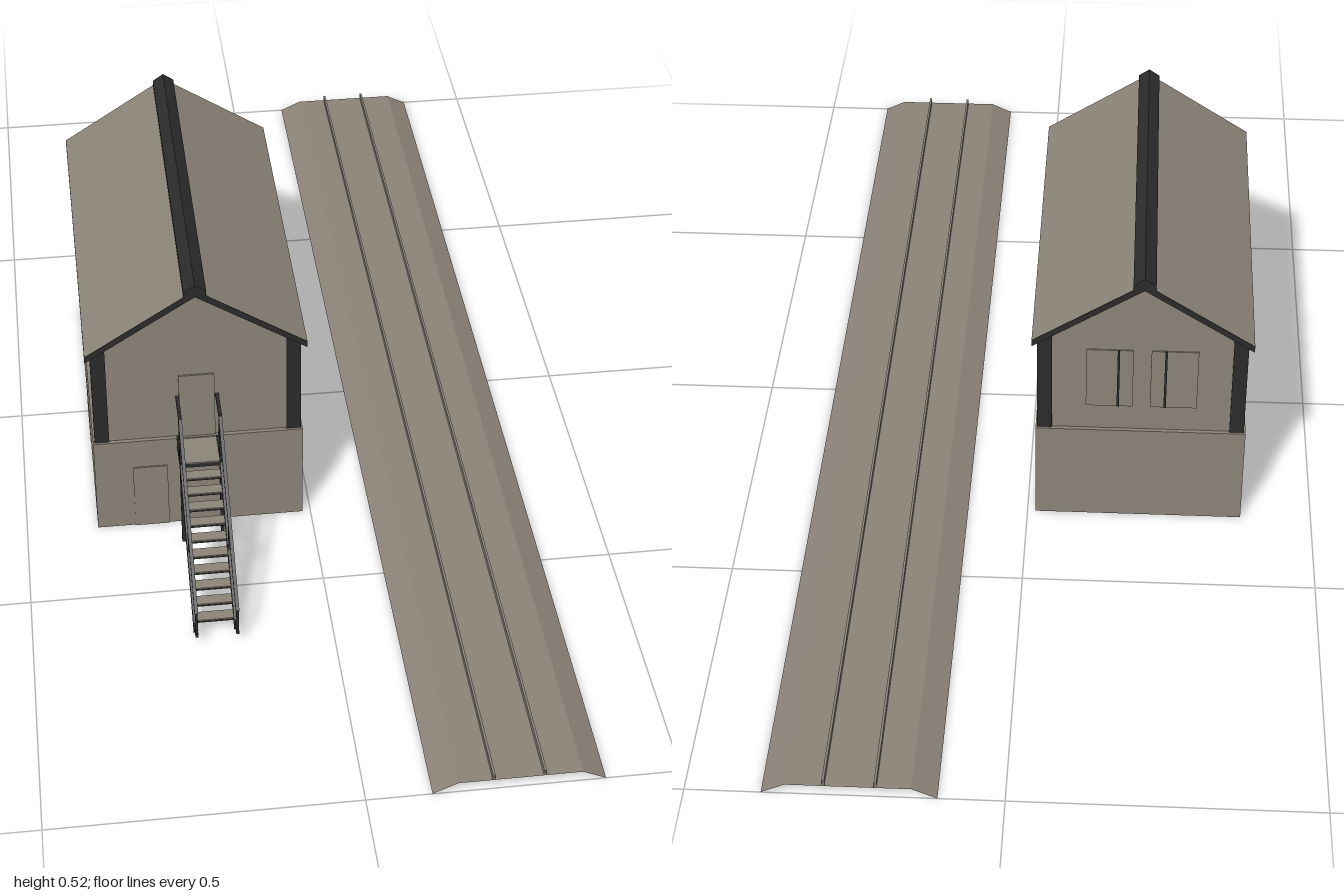
import * as THREE from 'three';

const wallMat = new THREE.MeshStandardMaterial({ name: 'stone', color: 0x8b8478, side: THREE.DoubleSide });
const bedMat = new THREE.MeshStandardMaterial({ name: 'ballast', color: 0x8b8277, side: THREE.DoubleSide });
const darkMat = new THREE.MeshStandardMaterial({ name: 'darkTimber', color: 0x2b2b2b, side: THREE.DoubleSide });

function add(parent, name, geo, mat) {
  const m = new THREE.Mesh(geo, mat);
  m.name = name;
  parent.add(m);
  return m;
}

// box given by its minimum and maximum corners
function box(parent, name, mat, x0, x1, y0, y1, z0, z1) {
  const m = add(parent, name, new THREE.BoxGeometry(x1 - x0, y1 - y0, z1 - z0), mat);
  m.position.set((x0 + x1) / 2, (y0 + y1) / 2, (z0 + z1) / 2);
  return m;
}

// beam in the y-z plane between two [z, y] points
function beam(parent, name, mat, x, w, h, a, b) {
  const dz = b[0] - a[0], dy = b[1] - a[1];
  const m = add(parent, name, new THREE.BoxGeometry(w, h, Math.hypot(dz, dy)), mat);
  m.position.set(x, (a[1] + b[1]) / 2, (a[0] + b[0]) / 2);
  m.rotation.x = -Math.atan2(dy, dz);
}

// open sheet: an [x, y] line swept along z
function sheet(points, z0, z1) {
  const pos = [];
  for (let i = 0; i < points.length - 1; i++) {
    const [ax, ay] = points[i], [bx, by] = points[i + 1];
    pos.push(ax, ay, z0, ax, ay, z1, bx, by, z1, ax, ay, z0, bx, by, z1, bx, by, z0);
  }
  const g = new THREE.BufferGeometry();
  g.setAttribute('position', new THREE.Float32BufferAttribute(pos, 3));
  g.computeVertexNormals();
  return g;
}

const shapeOf = (pts) => new THREE.Shape(pts.map(([x, y]) => new THREE.Vector2(x, y)));

// solid prism: an [x, y] outline swept along z
function prism(pts, z0, z1) {
  return new THREE.ExtrudeGeometry(shapeOf(pts), { depth: z1 - z0, bevelEnabled: false }).translate(0, 0, z0);
}

function buildHouse() {
  const g = new THREE.Group();
  g.name = 'house';
  const bx = 0.181, bz = 0.325, by = 0.19;

  // lower storey: open shell with a narrow ledge on top
  const ring = [[-bx, bz], [-bx, -bz], [bx, -bz], [bx, bz], [-bx, bz]];
  const shell = sheet(ring, 0, by);
  shell.rotateX(-Math.PI / 2);
  add(g, 'lowerWalls', shell, wallMat);
  const ledge = shapeOf(ring.slice(0, 4));
  ledge.holes.push(shapeOf([[-0.165, -0.305], [0.165, -0.305], [0.165, 0.305], [-0.165, 0.305]]));
  add(g, 'ledge', new THREE.ShapeGeometry(ledge).rotateX(-Math.PI / 2).translate(0, by, 0), wallMat);

  // gable ends, corner posts, long side walls
  const gable = shapeOf([[-0.17, by], [0.17, by], [0.17, 0.383], [0, 0.497], [-0.17, 0.383]]);
  for (const s of [-1, 1]) {
    const end = add(g, s > 0 ? 'frontGable' : 'backGable', new THREE.ShapeGeometry(gable), wallMat);
    end.position.z = s * 0.318;
    if (s < 0) end.rotation.y = Math.PI;
    const wall = add(g, 'sideWall', new THREE.PlaneGeometry(0.62, 0.19), wallMat);
    wall.position.set(s * 0.172, by + 0.095, 0);
    wall.rotation.y = s * Math.PI / 2;
    for (const t of [-1, 1]) {
      const post = add(g, 'cornerPost', new THREE.BoxGeometry(0.025, 0.2, 0.023), darkMat);
      post.position.set(s * 0.1655, by + 0.1, t * 0.3095);
    }
    // window panes and the mullions between them
    for (let i = -2; i <= 2; i++) {
      const mull = add(g, 'mullion', new THREE.BoxGeometry(0.004, 0.12, i === 0 ? 0.018 : 0.005), darkMat);
      mull.position.set(s * 0.173, 0.3, i * 0.096);
    }
    for (let i = -3; i < 3; i++) {
      const pane = add(g, 'sidePane', new THREE.BoxGeometry(0.003, 0.12, 0.078), wallMat);
      pane.position.set(s * 0.1725, 0.3, (i + 0.5) * 0.096);
    }
    // lower storey windows
    for (const z of [-0.115, 0.115]) {
      const w = add(g, 'lowerWindow', new THREE.BoxGeometry(0.003, 0.09, 0.1), wallMat);
      w.position.set(s * bx, 0.105, z);
    }
  }

  // doors at the front, windows at the back
  box(g, 'lowerDoor', wallMat, -0.115, -0.055, 0, 0.132, bz - 0.002, bz + 0.002);
  box(g, 'upperDoor', wallMat, -0.031, 0.03, by, 0.322, 0.316, 0.321);
  for (const x of [-0.055, 0.055]) {
    box(g, 'backWindow', wallMat, x - 0.04, x + 0.04, 0.24, 0.36, -0.32, -0.317);
    box(g, 'backMullion', darkMat, x * 0.73 - 0.002, x * 0.73 + 0.002, 0.24, 0.36, -0.322, -0.317);
  }

  // roof: dark boards with a pale covering on each slope
  const rz = 0.333;
  for (const s of [-1, 1]) {
    add(g, 'roofBoards', prism([[0, 0.495], [s * 0.187, 0.374], [s * 0.187, 0.386], [0, 0.508]], -rz, rz), darkMat);
    add(g, 'roofCovering', sheet([[0, 0.509], [s * 0.187, 0.387]], -rz, rz), wallMat);
  }
  add(g, 'ridgeCap', prism([[-0.019, 0.494], [0.019, 0.494], [0.019, 0.506], [0, 0.519], [-0.019, 0.506]], -rz, rz), darkMat);
  return g;
}

function buildStairs() {
  const g = new THREE.Group();
  g.name = 'stairs';
  const top = [0.385, 0.18], foot = [0.6, 0.02];
  for (const s of [-1, 1]) {
    const x = s * 0.034;
    // stringer, landing edge and supporting post
    beam(g, 'stringer', darkMat, x, 0.007, 0.018, top, [0.613, 0.01]);
    box(g, 'landingEdge', darkMat, x - 0.0035, x + 0.0035, 0.172, 0.19, 0.318, 0.392);
    box(g, 'landingPost', darkMat, x - 0.003, x + 0.003, 0, 0.277, 0.373, 0.379);
    // handrail with its uprights
    beam(g, 'handrailTop', darkMat, x, 0.006, 0.006, [0.318, 0.275], [0.378, 0.275]);
    beam(g, 'handrail', darkMat, x, 0.006, 0.006, [0.376, 0.275], [0.636, 0.072]);
    box(g, 'middleUpright', darkMat, x - 0.002, x + 0.002, 0.09, 0.17, 0.508, 0.512);
    box(g, 'endUpright', darkMat, x - 0.002, x + 0.002, 0.02, 0.073, 0.632, 0.636);
    beam(g, 'footBar', darkMat, x, 0.005, 0.006, [0.605, 0.022], [0.636, 0.022]);
  }
  // landing and treads with pale tops
  box(g, 'landing', darkMat, -0.032, 0.032, 0.178, 0.186, 0.318, 0.39);
  box(g, 'landingTop', wallMat, -0.031, 0.031, 0.186, 0.188, 0.318, 0.39);
  const n = 10;
  for (let i = 1; i <= n; i++) {
    const t = (i - 0.3) / n;
    const z = top[0] + (foot[0] - top[0]) * t, y = top[1] + (foot[1] - top[1]) * t;
    box(g, 'tread', darkMat, -0.032, 0.032, y - 0.004, y, z - 0.01, z + 0.01);
    box(g, 'treadTop', wallMat, -0.031, 0.031, y, y + 0.0015, z - 0.01, z + 0.01);
  }
  return g;
}

function buildTrack() {
  const g = new THREE.Group();
  g.name = 'track';
  // ballast bed: open sheet with sloping shoulders
  add(g, 'ballastBed', sheet([[0.105, 0], [0.145, 0.019], [0.342, 0.019], [0.38, 0]], -1, 1), bedMat);
  // rails
  for (const x of [0.201, 0.282]) {
    add(g, 'rail', sheet([[x - 0.002, 0.019], [x - 0.002, 0.03], [x + 0.002, 0.03], [x + 0.002, 0.019]], -1, 1), bedMat);
  }
  return g;
}

export function createModel() {
  const model = new THREE.Group();
  model.name = 'tracksideCabin';
  const house = buildHouse(), stairs = buildStairs();
  house.position.x = stairs.position.x = -0.195;
  model.add(house, stairs, buildTrack());
  return model;
}
